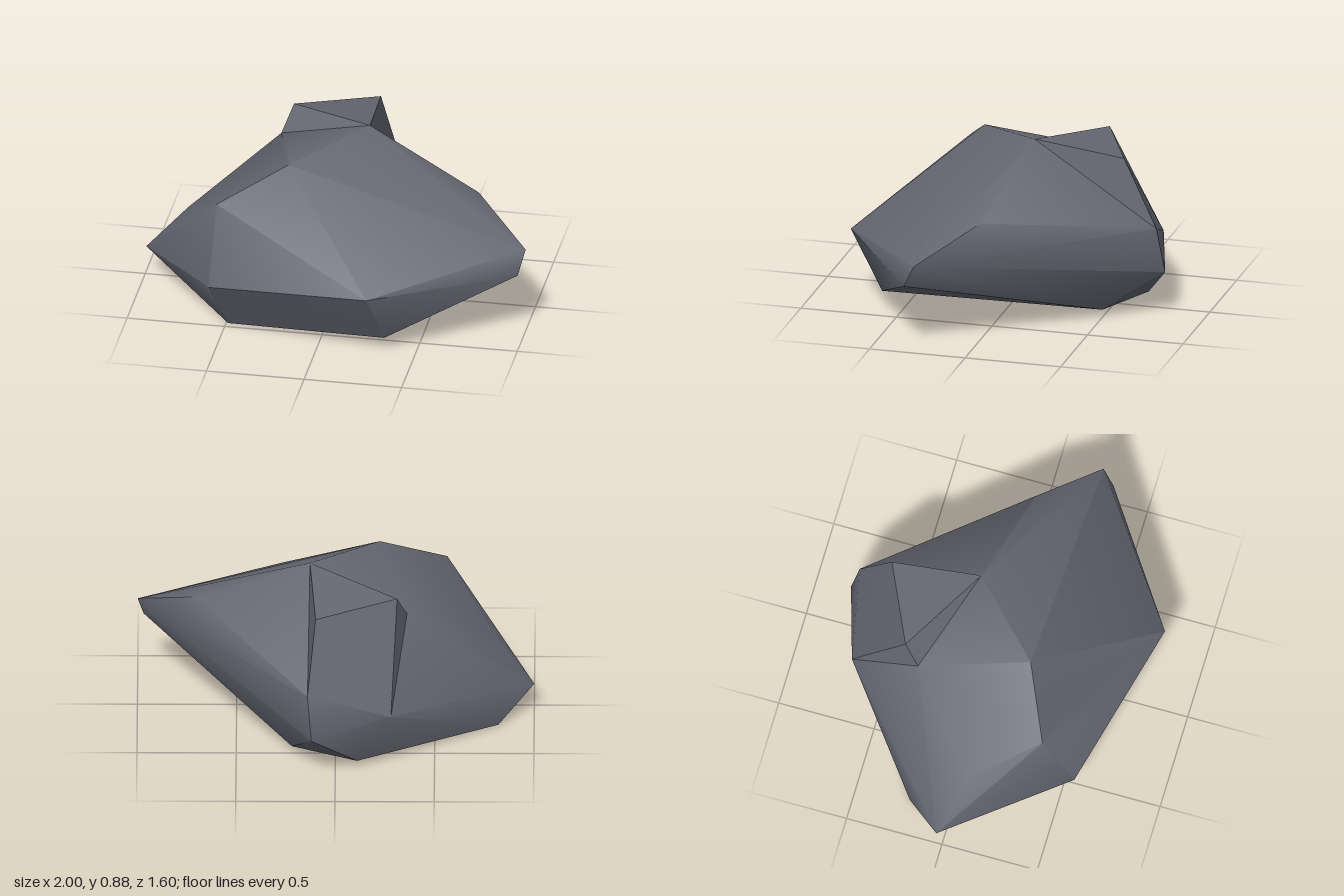
import * as THREE from 'three';
import { ConvexGeometry } from 'three/addons/geometries/ConvexGeometry.js';
import { toCreasedNormals } from 'three/addons/utils/BufferGeometryUtils.js';

// Named corners of the boulder
const corner = {
  peak: [0.13, 0.885, -0.12], shoulder: [0.71, 0.62, 0.0],
  sideTip: [1.0, 0.46, 0.27], sideLow: [0.97, 0.34, 0.33],
  frontTip: [0.28, 0.37, 0.8], frontLow: [0.34, 0.075, 0.62],
  frontCorner: [-0.57, 0.25, 0.57], frontFoot: [-0.49, 0.0, 0.46],
  ridge: [-0.22, 0.81, 0.24], brow: [-0.56, 0.635, 0.4],
  cheek: [-0.77, 0.43, 0.07], farTip: [-1.0, 0.14, -0.03],
  farFoot: [-0.82, 0.01, -0.22], backFoot: [-0.11, 0.04, -0.65],
  backBulge: [-0.28, 0.31, -0.68], backTip: [0.12, 0.235, -0.8],
  backHigh: [0.14, 0.47, -0.76], base: [0.22, 0.04, -0.5],
  ledgeBack: [0.1, 0.815, -0.58], ledgeRoot: [-0.36, 0.7, -0.31],
  ledgeTip: [-0.31, 0.83, -0.39],
};

// Faceted solid around a set of corners, smoothed across the gentle edges
function rock(names, crease, material, name) {
  const points = names.map((n) => new THREE.Vector3(...corner[n]));
  const geometry = toCreasedNormals(new ConvexGeometry(points), crease);
  const mesh = new THREE.Mesh(geometry, material);
  mesh.name = name;
  return mesh;
}

export function createModel() {
  const stone = new THREE.MeshStandardMaterial({ color: 0x646671 });
  stone.name = 'slate grey';

  const group = new THREE.Group();
  group.name = 'boulder';

  // Main mass: every corner except the two on the raised ledge
  const raised = ['ledgeTip', 'ledgeBack'];
  const bodyCorners = Object.keys(corner).filter((n) => !raised.includes(n));
  group.add(rock(bodyCorners, 0.8, stone, 'boulderBody'));

  // Raised ledge behind the peak, its back running down into the bulge
  const ledgeCorners = ['peak', 'ledgeBack', 'ledgeTip', 'ledgeRoot', 'backHigh', 'backBulge'];
  group.add(rock(ledgeCorners, 0.8, stone, 'ledge'));

  return group;
}
